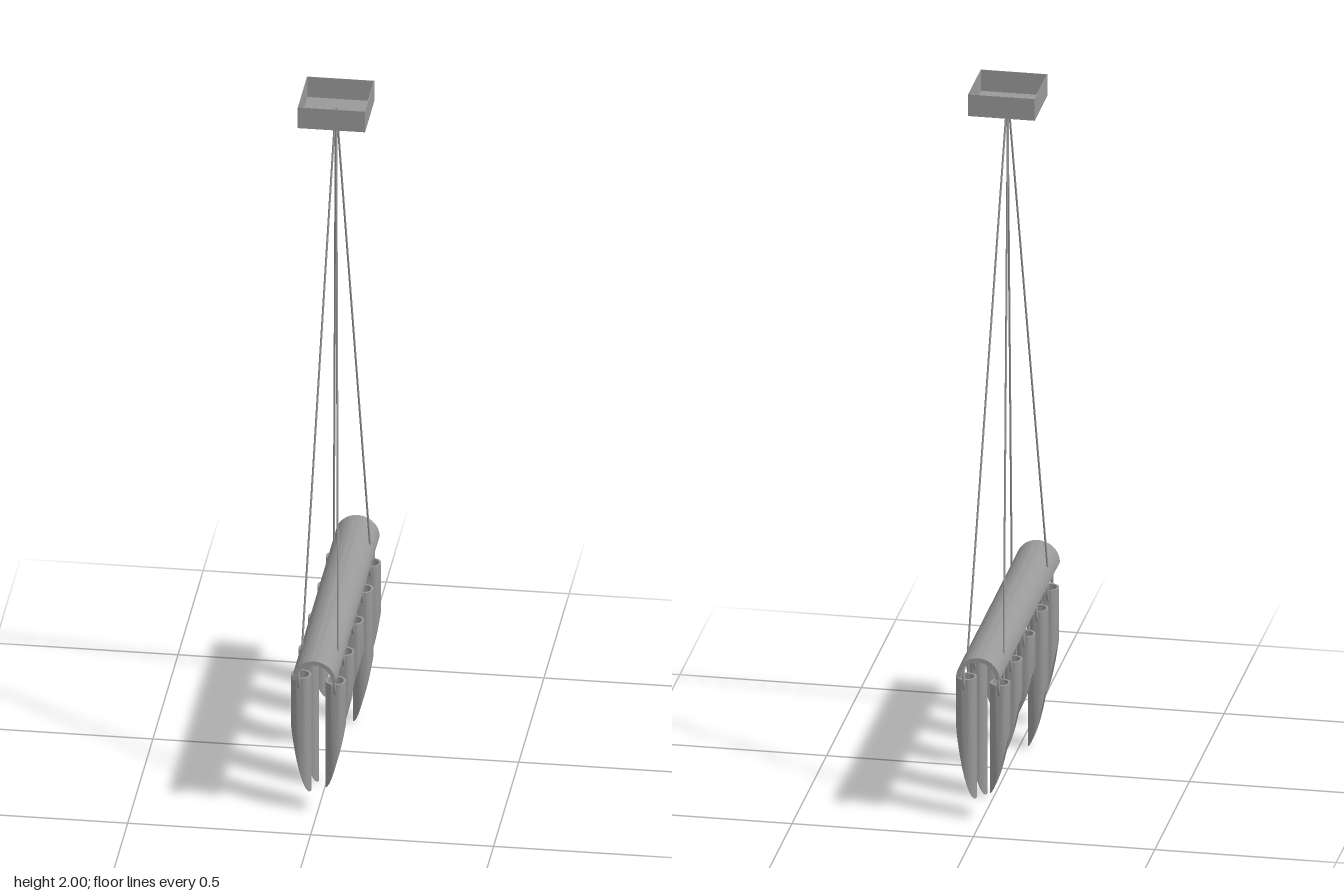
import * as THREE from 'three';
import { toCreasedNormals } from 'three/addons/utils/BufferGeometryUtils.js';

const material = new THREE.MeshStandardMaterial({ color: 0x999999, side: THREE.DoubleSide });
const ZC = -0.004; // the ceiling box and hangers sit slightly off the bar's middle
const TUBE_TOP = 0.402, TUBE_R = 0.028, TUBE_WALL = 0.006, TUBE_X = 0.049;

function part(name, geometry, x = 0, y = 0, z = 0) {
  const mesh = new THREE.Mesh(geometry, material);
  mesh.name = name;
  mesh.position.set(x, y, z);
  return mesh;
}

// Hollow tube whose lower end is scooped away on the +x side
function tubeGeometry(bottom, cut) {
  const inner = TUBE_R - TUBE_WALL;
  const profile = [[inner, 0], [TUBE_R, 0], [TUBE_R, TUBE_TOP], [inner, TUBE_TOP], [inner, 0]]
    .map(([r, y]) => new THREE.Vector2(r, y));
  const geometry = new THREE.LatheGeometry(profile, 24);
  const pos = geometry.attributes.position;
  for (let i = 0; i < pos.count; i++) {
    if (pos.getY(i) > 0.01) continue;
    const t = Math.max(0, (pos.getX(i) + TUBE_R) / (2 * TUBE_R));
    pos.setY(i, bottom + (cut - bottom) * Math.pow(t, 1.7));
  }
  return toCreasedNormals(geometry, 0.7);
}

// Closed wire ring from the bar's edge through the sides of a tube
function ringGeometry() {
  const points = [[0.014, 0.457], [0.027, 0.44], [0.034, 0.412], [0.034, 0.392], [0.024, 0.374]];
  const loop = [...points, ...points.slice().reverse().map(([z, y]) => [-z, y])];
  const curve = new THREE.CatmullRomCurve3(loop.map(([z, y]) => new THREE.Vector3(0, y, z)), true);
  return new THREE.TubeGeometry(curve, 48, 0.004, 8, true);
}

// Half-pipe bar running along z
function barGeometry() {
  const shape = new THREE.Shape();
  shape.absarc(0, 0, 0.06, 0, Math.PI, false);
  shape.absarc(0, 0, 0.048, Math.PI, 0, true);
  shape.closePath();
  const geometry = new THREE.ExtrudeGeometry(shape, { depth: 0.87, bevelEnabled: false, curveSegments: 24 });
  geometry.translate(0, 0, -0.435);
  return toCreasedNormals(geometry, 0.6);
}

// Shallow ceiling box, open on top
function ceilingBox() {
  const box = new THREE.Group();
  box.name = 'ceilingBox';
  const half = 0.092, wall = 0.0015, h = 0.063, y = 2 - h / 2;
  box.add(part('boxFloor', new THREE.BoxGeometry(2 * half, wall, 2 * half), 0, 2 - h + wall / 2, ZC));
  for (const s of [-1, 1]) {
    box.add(part('boxSide', new THREE.BoxGeometry(wall, h, 2 * half), s * (half - wall / 2), y, ZC));
    box.add(part('boxEnd', new THREE.BoxGeometry(2 * (half - wall), h, wall), 0, y, ZC + s * (half - wall / 2)));
  }
  return box;
}

export function createModel() {
  const model = new THREE.Group();
  model.name = 'hangingChime';
  model.add(ceilingBox());
  model.add(part('bar', barGeometry(), 0, 0.435, 0));

  // Four cords meeting at the ceiling box
  for (const sx of [-1, 1]) for (const sz of [-1, 1]) {
    const top = new THREE.Vector3(sx * 0.001, 1.955, ZC + sz * 0.003);
    const end = new THREE.Vector3(sx * 0.05, 0.45, ZC + sz * 0.32);
    model.add(part('cord', new THREE.TubeGeometry(new THREE.LineCurve3(top, end), 1, 0.0028, 8)));
  }

  // Tubes: z, lowest point, top of the slanted cut; the other side is the same turned half round
  const tubes = [
    [0.363, 0.08, 0.272], [0.19, 0.117, 0.315], [0.004, 0.163, 0.315], [-0.183, 0, 0.2], [-0.338, 0.05, 0.26],
  ];
  for (const [name, turn] of [['leftRow', 0], ['rightRow', Math.PI]]) {
    const row = new THREE.Group();
    row.name = name;
    row.position.z = ZC;
    row.rotation.y = turn;
    for (const [z, bottom, cut] of tubes) {
      row.add(part('chimeTube', tubeGeometry(bottom, cut), TUBE_X, 0, z));
      row.add(part('wireRing', ringGeometry(), 0.051, 0, z));
    }
    model.add(row);
  }
  return model;
}
